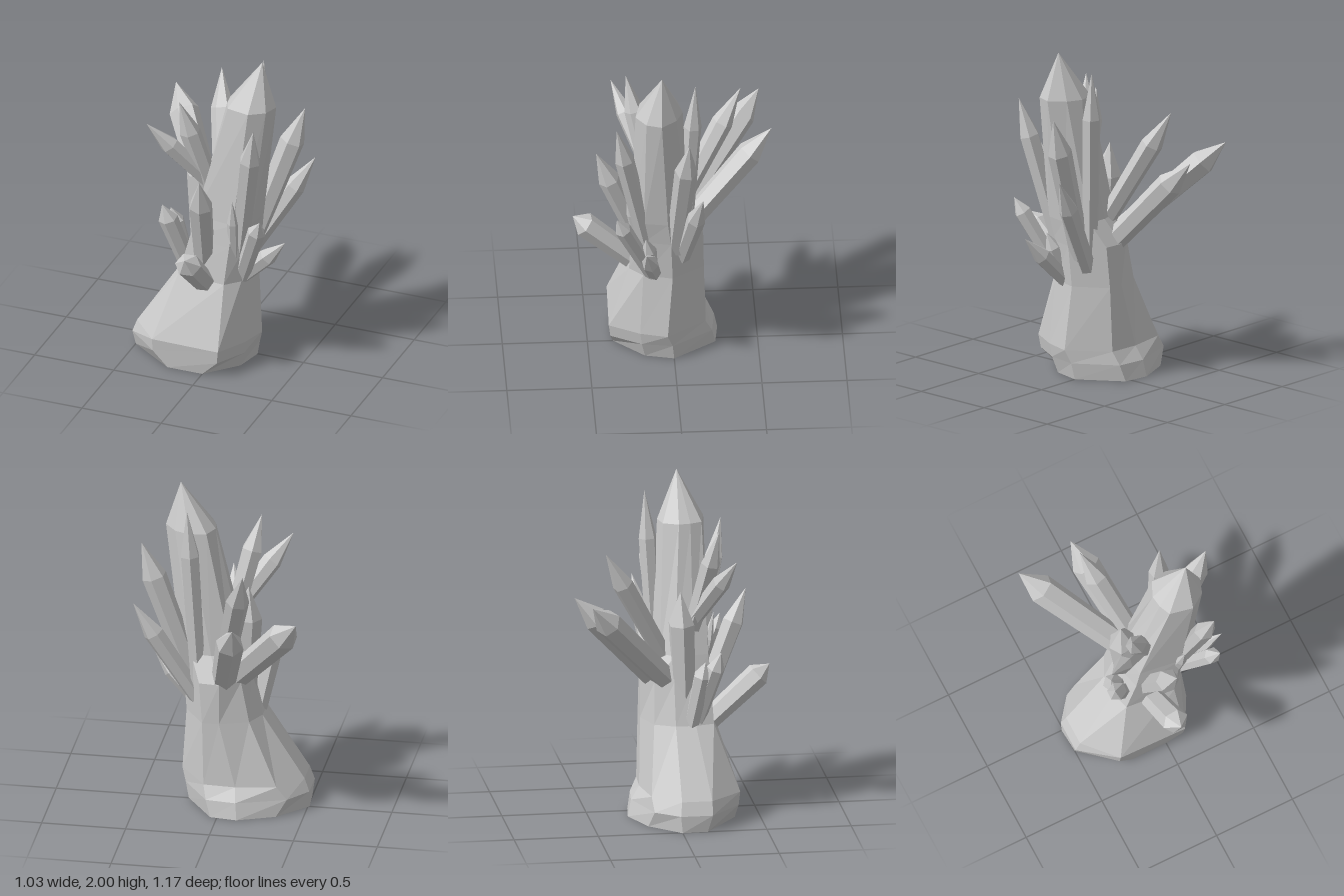
import * as THREE from 'three';

const material = new THREE.MeshStandardMaterial({ color: 0xcccccc, flatShading: true });
const shellMaterial = new THREE.MeshStandardMaterial({ color: 0xcccccc, flatShading: true, side: THREE.DoubleSide });

// Faceted shell through rings of [x, z] corners, open below and closed by a top point
function loft(rings, top) {
  const n = rings[0].points.length;
  const pos = [], idx = [];
  rings.forEach(({ y, points }) => points.forEach(([x, z]) => pos.push(x, y, z)));
  pos.push(...top);
  const last = rings.length * n;
  for (let i = 0; i < n; i++) {
    const j = (i + 1) % n;
    for (let r = 0; r < rings.length - 1; r++) {
      const a = r * n + i, b = r * n + j;
      idx.push(a, b, b + n, a, b + n, a + n);
    }
    idx.push(last - n + i, last - n + j, last);
  }
  const g = new THREE.BufferGeometry();
  g.setAttribute('position', new THREE.Float32BufferAttribute(pos, 3));
  g.setIndex(idx);
  const flat = g.toNonIndexed();
  flat.computeVertexNormals();
  return flat;
}

// Six-sided pointed crystal running from base to tip
function crystal(name, base, tip, radius, shoulder, turn) {
  const from = new THREE.Vector3(...base), dir = new THREE.Vector3(...tip).sub(from);
  const len = dir.length();
  const profile = [[0, 0], [radius * 0.85, 0], [radius, len * shoulder], [0, len]]
    .map(([r, y]) => new THREE.Vector2(r, y));
  const geo = new THREE.LatheGeometry(profile, 6).toNonIndexed();
  geo.rotateY(turn);
  geo.scale(1, 1, 0.9);
  geo.computeVertexNormals();
  const mesh = new THREE.Mesh(geo, material);
  mesh.name = name;
  mesh.position.copy(from);
  mesh.quaternion.setFromUnitVectors(new THREE.Vector3(0, 1, 0), dir.normalize());
  return mesh;
}

export function createModel() {
  const group = new THREE.Group();
  group.name = 'crystalCluster';

  // Rocky foot growing into the large leaning crystal
  const rings = [
    { y: 0, points: [[-0.51, 0], [-0.5, 0.15], [-0.22, 0.35], [0, 0.35], [0.17, 0.17], [0.21, 0], [0.04, -0.25], [-0.12, -0.27], [-0.34, -0.18]] },
    { y: 0.1, points: [[-0.51, -0.01], [-0.51, 0.18], [-0.31, 0.36], [0.1, 0.37], [0.2, 0.19], [0.23, 0.01], [0.07, -0.23], [-0.11, -0.25], [-0.4, -0.15]] },
    { y: 0.18, points: [[-0.48, 0], [-0.48, 0.18], [-0.31, 0.37], [0.11, 0.38], [0.21, 0.2], [0.255, 0.04], [0.09, -0.19], [-0.1, -0.2], [-0.34, -0.16]] },
    { y: 0.57, points: [[-0.23, 0], [-0.23, 0.12], [-0.2, 0.23], [0.1, 0.26], [0.18, 0.18], [0.225, 0.01], [0.1, -0.18], [0, -0.18], [-0.17, -0.12]] },
    { y: 0.82, points: [[-0.16, 0], [-0.155, 0.12], [-0.13, 0.22], [0.13, 0.25], [0.21, 0.18], [0.245, 0.02], [0.12, -0.17], [0, -0.18], [-0.12, -0.11]] },
    { y: 0.97, points: [[-0.125, 0.01], [-0.12, 0.12], [-0.1, 0.21], [0.15, 0.245], [0.24, 0.18], [0.265, 0.04], [0.18, -0.09], [0.06, -0.1], [-0.06, -0.07]] },
    { y: 1.72, points: [[0.06, 0.06], [0.07, 0.13], [0.1, 0.2], [0.24, 0.23], [0.33, 0.17], [0.36, 0.08], [0.29, -0.01], [0.2, -0.05], [0.1, -0.03]] },
  ];
  const trunk = new THREE.Mesh(loft(rings, [0.27, 2, 0.075]), shellMaterial);
  trunk.name = 'mainCrystal';
  group.add(trunk);

  // Smaller crystals: name, base, tip, radius, shoulder height
  [
    ['backRightCrystal', [-0.06, 0.8, -0.02], [-0.52, 1.4, -0.535], 0.09, 0.8],
    ['backCrystal', [0, 0.76, -0.05], [-0.15, 1.36, -0.59], 0.085, 0.76],
    ['upperBackCrystal', [-0.01, 0.9, -0.02], [-0.18, 1.63, -0.41], 0.07, 0.72],
    ['tallBackCrystal', [0.14, 0.75, -0.06], [0.2, 1.9, -0.125], 0.06, 0.75],
    ['lowerLeftCrystal', [0.15, 0.68, -0.05], [0.515, 1.3, -0.155], 0.062, 0.68],
    ['upperLeftCrystal', [0.17, 0.75, -0.01], [0.48, 1.66, -0.075], 0.075, 0.76],
    ['tallFrontLeftCrystal', [0.14, 0.65, 0.13], [0.32, 1.68, 0.345], 0.065, 0.78],
    ['smallLeftCrystal', [0.15, 0.56, 0.11], [0.455, 0.88, 0.175], 0.055, 0.6],
    ['leftSpurCrystal', [0.15, 0.56, 0.11], [0.27, 0.88, 0.17], 0.05, 0.7],
    ['smallFrontLeftCrystal', [0.16, 0.57, 0.13], [0.36, 1.08, 0.345], 0.055, 0.83],
    ['thinFrontCrystal', [0.13, 0.6, 0.17], [0.16, 1.15, 0.28], 0.035, 0.7],
    ['frontCrystal', [-0.06, 0.58, 0.15], [0.02, 1.33, 0.45], 0.073, 0.74],
    ['lowFrontCrystal', [-0.04, 0.49, 0.16], [-0.02, 0.87, 0.585], 0.08, 0.84],
    ['smallFrontRightCrystal', [-0.17, 0.57, 0.13], [-0.29, 1.03, 0.26], 0.06, 0.78],
    ['sideSpurCrystal', [-0.19, 0.57, 0.1], [-0.27, 0.97, 0.17], 0.06, 0.78],
    ['upperRightCrystal', [0.03, 1.08, 0.09], [-0.355, 1.6, 0.345], 0.06, 0.7],
    ['tallRightCrystal', [0.02, 0.9, 0.08], [-0.18, 1.74, 0.265], 0.065, 0.75],
    ['innerRightCrystal', [-0.1, 0.6, 0.07], [-0.14, 1.37, 0.04], 0.09, 0.74],
  ].forEach(([name, base, tip, radius, shoulder], i) =>
    group.add(crystal(name, base, tip, radius, shoulder, i * 0.4)));

  return group;
}
